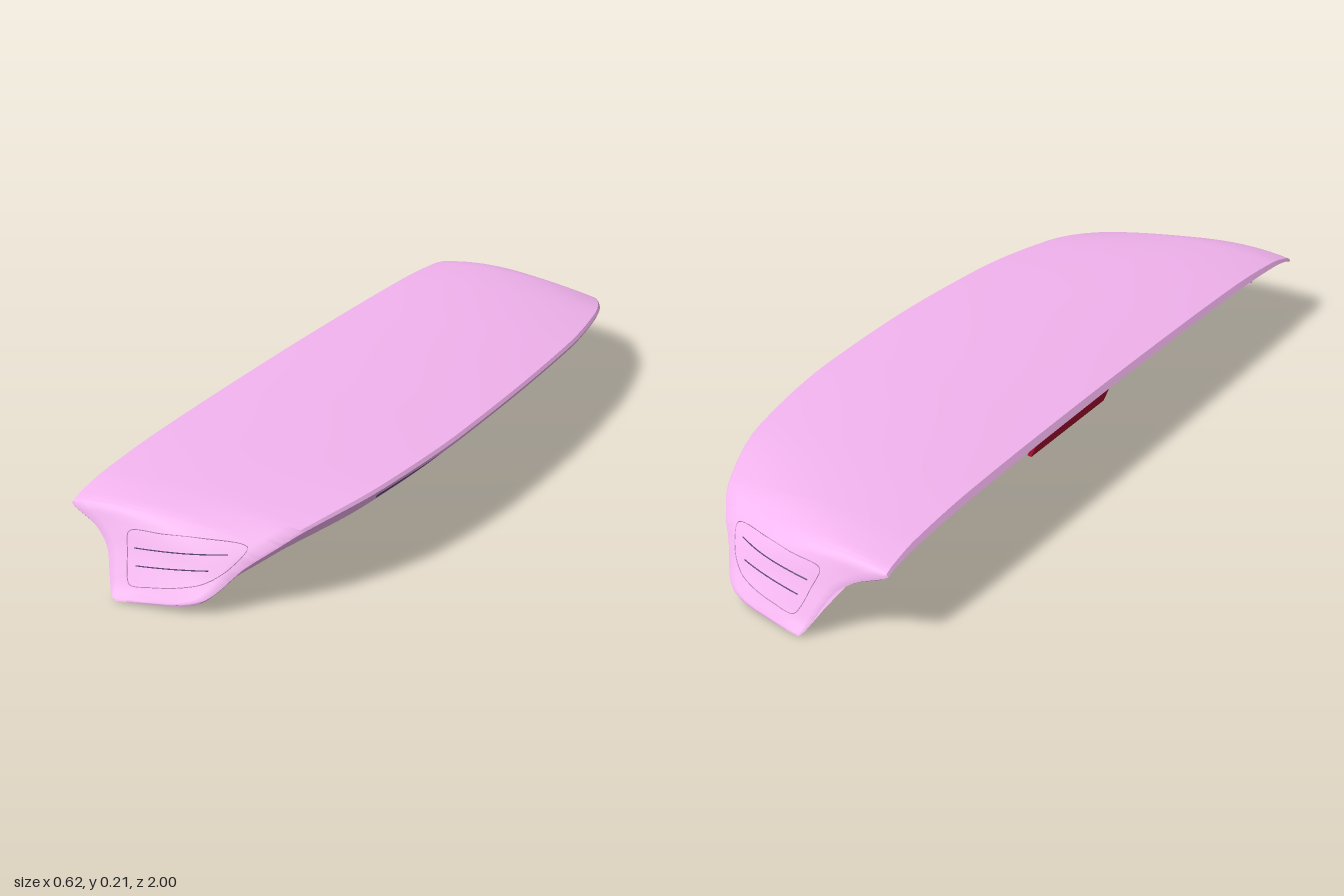
import * as THREE from 'three';
import { toCreasedNormals } from 'three/addons/utils/BufferGeometryUtils.js';

// Half-span stations: z, rear x, rear y, crown y, front x, front y, hem x, hem y, depth factor
const STATIONS = [
  [0, -0.312, 0.199, 0.211, 0.312, 0.199, -0.165, 0.075, 1],
  [0.3, -0.312, 0.197, 0.209, 0.304, 0.195, -0.165, 0.073, 1],
  [0.6, -0.312, 0.191, 0.201, 0.265, 0.181, -0.164, 0.067, 0.95],
  [0.8, -0.312, 0.177, 0.186, 0.19, 0.15, -0.163, 0.05, 0.75],
  [0.87, -0.312, 0.164, 0.17, 0.14, 0.116, -0.162, 0.038, 0.55],
  [0.905, -0.312, 0.152, 0.153, 0.105, 0.09, -0.161, 0.03, 0.42],
  [0.925, -0.24, 0.122, 0.122, 0.088, 0.072, -0.16, 0.025, 0.32],
  [0.945, -0.2, 0.088, 0.086, 0.072, 0.053, -0.159, 0.018, 0.22],
  [0.97, -0.18, 0.047, 0.047, 0.045, 0.031, -0.158, 0.01, 0.12],
  [0.985, -0.169, 0.023, 0.025, 0, 0.018, -0.157, 0.005, 0.07],
  [1, -0.157, 0.005, 0.006, -0.12, 0.005, -0.151, 0, 0.03],
];

// Monotone cubic interpolation of all station columns
function station(zIn) {
  const z = Math.min(Math.abs(zIn), 1);
  const S = STATIONS, n = S.length - 1;
  let i = 0;
  while (i < n - 1 && z > S[i + 1][0]) i++;
  const slope = (k, c) => (S[k + 1][c] - S[k][c]) / (S[k + 1][0] - S[k][0]);
  const tangent = (k, c) => {
    if (k === 0) return 0;
    if (k === n) return slope(n - 1, c);
    const a = slope(k - 1, c), b = slope(k, c);
    return a * b <= 0 ? 0 : (2 * a * b) / (a + b);
  };
  const h = S[i + 1][0] - S[i][0], t = (z - S[i][0]) / h, u = 1 - t;
  return S[i].map((v, c) =>
    v * (1 + 2 * t) * u * u + tangent(i, c) * h * t * u * u +
    S[i + 1][c] * t * t * (3 - 2 * t) - tangent(i + 1, c) * h * t * t * u);
}

function skinY(x, z) {
  const [, xr, yr, yc, xf, yf] = station(z);
  const t = THREE.MathUtils.clamp((x - xr) / (xf - xr), 0, 1);
  return yr + (yf - yr) * t + 4 * t * (1 - t) * (yc - (yr + yf) / 2);
}

// Open slice: folded rear lip, top skin, front lip, groove, underside down to its hem
function section(z) {
  const [, xr, yr, , xf, yf, bx, by, g] = station(z);
  const loop = [[xr + 0.012 * g, yr - 0.02 * g], [xr, yr - 0.012 * g]];
  const x0 = xr + 0.01 * g, x1 = xf - 0.006 * g;
  for (let k = 0; k <= 16; k++) {
    const x = x0 + ((x1 - x0) * k) / 16;
    loop.push([x, skinY(x, z)]);
  }
  loop.push([xf, yf - 0.006 * g], [xf - 0.004 * g, yf - 0.015 * g]);
  loop.push(...grooveEdges(z));
  // gently hollow underside
  const ux = xf - 0.11 * g, uy = yf - 0.071 * g;
  for (let k = 0; k <= 8; k++) {
    const t = k / 8;
    loop.push([ux + (bx - ux) * t, uy + (by - uy) * t + 0.032 * g * t * (1 - t)]);
  }
  return loop;
}

// Upper and lower edge of the groove under the front lip
function grooveEdges(z) {
  const [, , , , xf, yf, , , g] = station(z);
  return [[xf - 0.04 * g, yf - 0.026 * g], [xf - 0.056 * g, yf - 0.064 * g]];
}

// Surface through clockwise slices placed along z; solid ones are closed and capped
function loft(loopAt, zs, solid) {
  const pos = [], idx = [];
  const m = loopAt(0).length;
  zs.forEach((z) => loopAt(z).forEach(([x, y]) => pos.push(x, y, z)));
  for (let i = 0; i < zs.length - 1; i++) {
    for (let j = 0; j < (solid ? m : m - 1); j++) {
      const a = i * m + j, b = i * m + ((j + 1) % m);
      idx.push(a, a + m, b, b, a + m, b + m);
    }
  }
  if (solid) {
    const e = (zs.length - 1) * m;
    for (let j = 1; j < m - 1; j++) idx.push(0, j, j + 1, e, e + j + 1, e + j);
  }
  const geo = new THREE.BufferGeometry();
  geo.setAttribute('position', new THREE.Float32BufferAttribute(pos, 3));
  geo.setIndex(idx);
  return toCreasedNormals(geo, 0.6);
}

const range = (a, b, n) => Array.from({ length: n + 1 }, (_, i) => a + ((b - a) * i) / n);

// Point on the sloping end skin at a given x and y
function onEnd(x, y, side) {
  let lo = 0.8, hi = 1;
  for (let k = 0; k < 30; k++) {
    const mid = (lo + hi) / 2;
    if (skinY(x, mid) > y) lo = mid; else hi = mid;
  }
  return new THREE.Vector3(x, y, side * lo);
}

export function createModel() {
  const model = new THREE.Group();
  const paint = new THREE.MeshStandardMaterial({ color: 0xf2b3ee, side: THREE.DoubleSide });
  const dark = new THREE.MeshStandardMaterial({ color: 0x5f4878 });
  const seamPaint = new THREE.MeshStandardMaterial({ color: 0xc48fc2 });
  const red = new THREE.MeshStandardMaterial({ color: 0xb01030 });
  const add = (name, geo, mat, parent = model) => {
    const mesh = new THREE.Mesh(geo, mat);
    mesh.name = name;
    parent.add(mesh);
  };

  // Hollow wing, open along the straight rear side, with denser slices toward the ends
  const half = [...range(0, 0.8, 20), ...range(0.81, 1, 38)];
  const zs = [...half.slice(1).reverse().map((z) => -z), ...half];
  add('wing', loft(section, zs, false), paint);

  // Dark grille strip in the groove under the front lip
  add('grille', loft((z) => {
    const [[tx, ty], [bx, by]] = grooveEdges(z);
    return [[tx - 0.008, ty], [tx + 0.003, ty], [bx + 0.003, by + 0.004], [bx - 0.008, by + 0.004]];
  }, range(-0.56, 0.56, 28), true), dark);

  // Slanted lamp bar below the rear opening
  const lamp = [[-0.192, 0.061], [-0.183, 0.064], [-0.165, 0.02], [-0.175, 0.018]];
  add('lampBar', loft(() => lamp, [-0.165, 0.165], true), red);

  // Inset panel seam and slots on each end
  const outline = [[-0.158, 0.122], [-0.15, 0.128], [-0.08, 0.131], [0, 0.132], [0.085, 0.127], [0.098, 0.122],
    [0.075, 0.085], [0.035, 0.058], [-0.01, 0.046], [-0.07, 0.037], [-0.125, 0.033], [-0.135, 0.045], [-0.148, 0.085]];
  const slots = [[[-0.135, 0.097], [0.065, 0.109]], [[-0.122, 0.067], [0.037, 0.08]]];
  for (const side of [1, -1]) {
    const end = new THREE.Group();
    end.name = side > 0 ? 'frontEndPanel' : 'backEndPanel';
    const loop = new THREE.CatmullRomCurve3(outline.map(([x, y]) => onEnd(x, y, side)), true);
    add('panelSeam', new THREE.TubeGeometry(loop, 90, 0.001, 5, true), seamPaint, end);
    for (const [[xa, ya], [xb, yb]] of slots) {
      const pts = range(0, 1, 8).map((t) => onEnd(xa + (xb - xa) * t, ya + (yb - ya) * t, side));
      add('slot', new THREE.TubeGeometry(new THREE.CatmullRomCurve3(pts), 24, 0.0014, 5), dark, end);
    }
    model.add(end);
  }
  return model;
}
